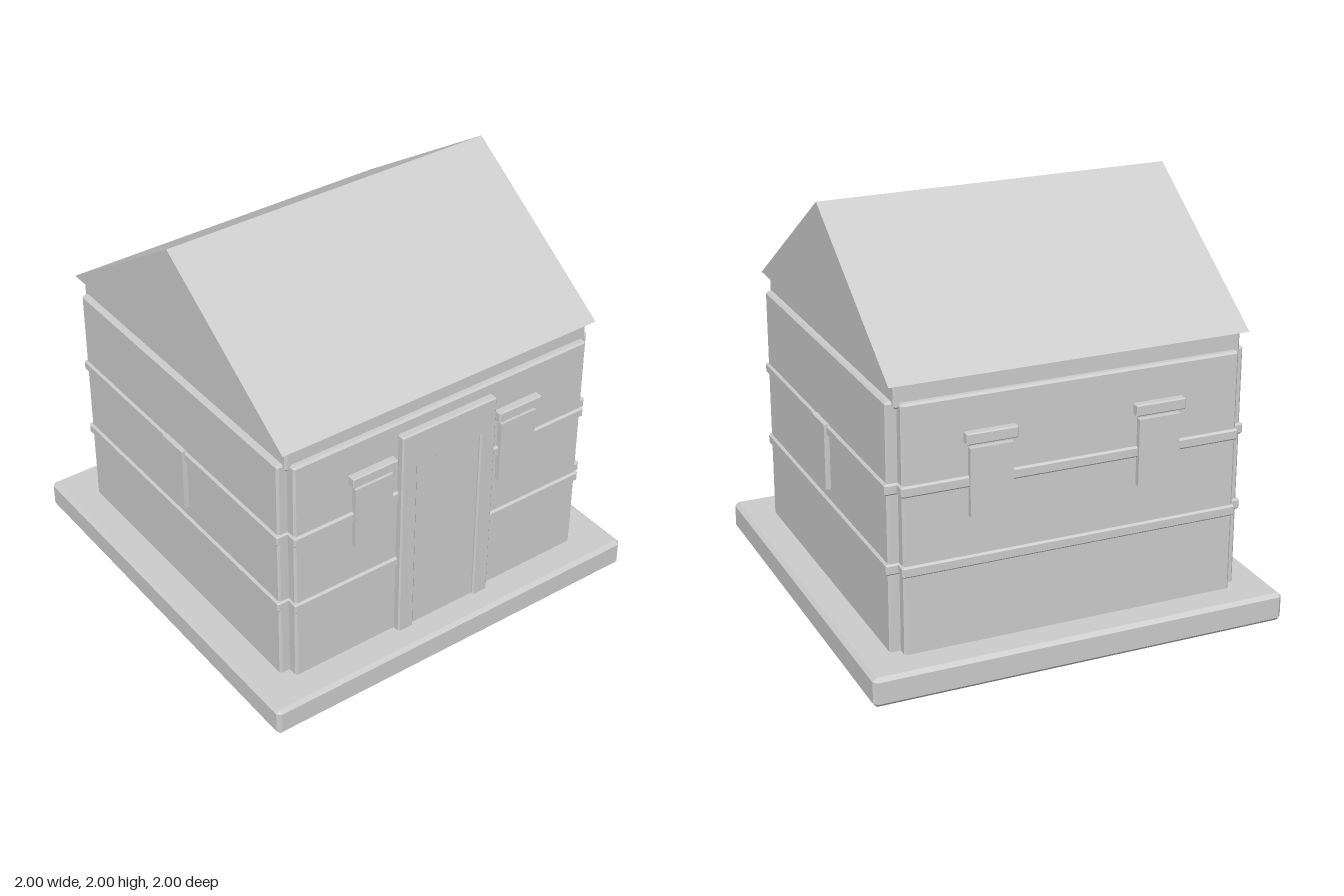
import * as THREE from 'three';
import { ConvexGeometry } from 'three/addons/geometries/ConvexGeometry.js';

export function createModel() {
  const house = new THREE.Group();
  house.name = 'house';
  const stone = new THREE.MeshStandardMaterial({ color: 0xcccccc });
  stone.name = 'plain grey';

  function add(name, geometry, parent = house) {
    const mesh = new THREE.Mesh(geometry, stone);
    mesh.name = name;
    parent.add(mesh);
    return mesh;
  }

  // Box between two corners with chamfered edges
  function block(name, [x0, y0, z0], [x1, y1, z1], bevel = 0.008, parent = house) {
    const h = [(x1 - x0) / 2, (y1 - y0) / 2, (z1 - z0) / 2];
    const center = [(x0 + x1) / 2, (y0 + y1) / 2, (z0 + z1) / 2];
    let geometry;
    if (bevel > 0) {
      const points = [];
      for (const sx of [-1, 1]) for (const sy of [-1, 1]) for (const sz of [-1, 1]) {
        const s = [sx, sy, sz];
        for (let outer = 0; outer < 3; outer++) {
          points.push(new THREE.Vector3(...s.map((v, i) => v * (h[i] - (i === outer ? 0 : bevel)))));
        }
      }
      geometry = new ConvexGeometry(points);
    } else {
      geometry = new THREE.BoxGeometry(h[0] * 2, h[1] * 2, h[2] * 2);
    }
    add(name, geometry, parent).position.set(...center);
  }

  // Foundation slab and the beam below the roof
  block('foundation', [-1, 0.05, -1], [1, 0.19, 1], 0.018);
  block('topBeam', [-0.82, 1.32, -0.82], [0.82, 1.435, 0.82], 0.01);

  // Four wall panels, each with two trim bands; corners stay notched
  ['frontWall', 'leftWall', 'backWall', 'rightWall'].forEach((name, i) => {
    const side = new THREE.Group();
    side.name = name;
    side.rotation.y = i * Math.PI / 2;
    house.add(side);
    block('panel', [-0.8, 0.18, 0.74], [0.8, 1.35, 0.85], 0.01, side);
    for (const y of [0.56, 0.932]) {
      block('trimBand', [-0.808, y, 0.76], [0.808, y + 0.052, 0.862], 0.008, side);
    }
    if (i % 2) {
      // Single narrow window on the gable sides
      block('window', [-0.08, 0.67, 0.8], [0.08, 0.988, 0.875], 0, side);
    } else {
      // Pair of hooded windows on the front and back
      for (const x of [-0.4, 0.4]) {
        block('window', [x - 0.1, 0.8, 0.8], [x + 0.1, 1.115, 0.876], 0, side);
        block('windowHood', [x - 0.12, 1.135, 0.8], [x + 0.12, 1.188, 0.887], 0.005, side);
      }
    }
  });

  // Doorway: two posts, a lintel and a recessed door
  for (const s of [-1, 1]) {
    const xs = [0.175 * s, 0.258 * s].sort((a, b) => a - b);
    block('doorPost', [xs[0], 0.18, 0.8], [xs[1], 1.13, 0.886], 0.007);
  }
  block('doorLintel', [-0.258, 1.115, 0.8], [0.258, 1.29, 0.886], 0.007);
  block('door', [-0.18, 0.18, 0.8], [0.18, 1.13, 0.872], 0);

  // Gable roof with its ridge along x
  const gable = new THREE.Shape([
    new THREE.Vector2(-0.845, 1.432),
    new THREE.Vector2(0.845, 1.432),
    new THREE.Vector2(0, 2),
  ]);
  const roof = new THREE.ExtrudeGeometry(gable, { depth: 1.7, bevelEnabled: false });
  roof.translate(0, 0, -0.85);
  roof.rotateY(Math.PI / 2);
  add('roof', roof);

  // Rough stone shards poking out under the foundation: x, z, half length, tip height
  const shards = [
    [0.1, 0.56, 0.15, 0], [0.5, 0.33, 0.12, 0.025], [0.32, 0.74, 0.09, 0.03],
    [-0.12, 0.47, 0.07, 0.03], [0.32, -0.42, 0.06, 0.025], [0.45, 0.6, 0.08, 0.025],
    [0.19, -0.6, 0.09, 0.025], [-0.31, -0.22, 0.03, 0.015], [-0.62, -0.25, 0.035, 0.025],
  ];
  for (const [x, z, r, tip] of shards) {
    add('stoneShard', new ConvexGeometry([
      new THREE.Vector3(x - r, 0.06, z + r * 0.25),
      new THREE.Vector3(x + r, 0.06, z + r * 0.1),
      new THREE.Vector3(x + r * 0.3, 0.06, z - r * 0.5),
      new THREE.Vector3(x + r * 0.85, tip, z - r * 0.3),
    ]));
  }
  return house;
}
